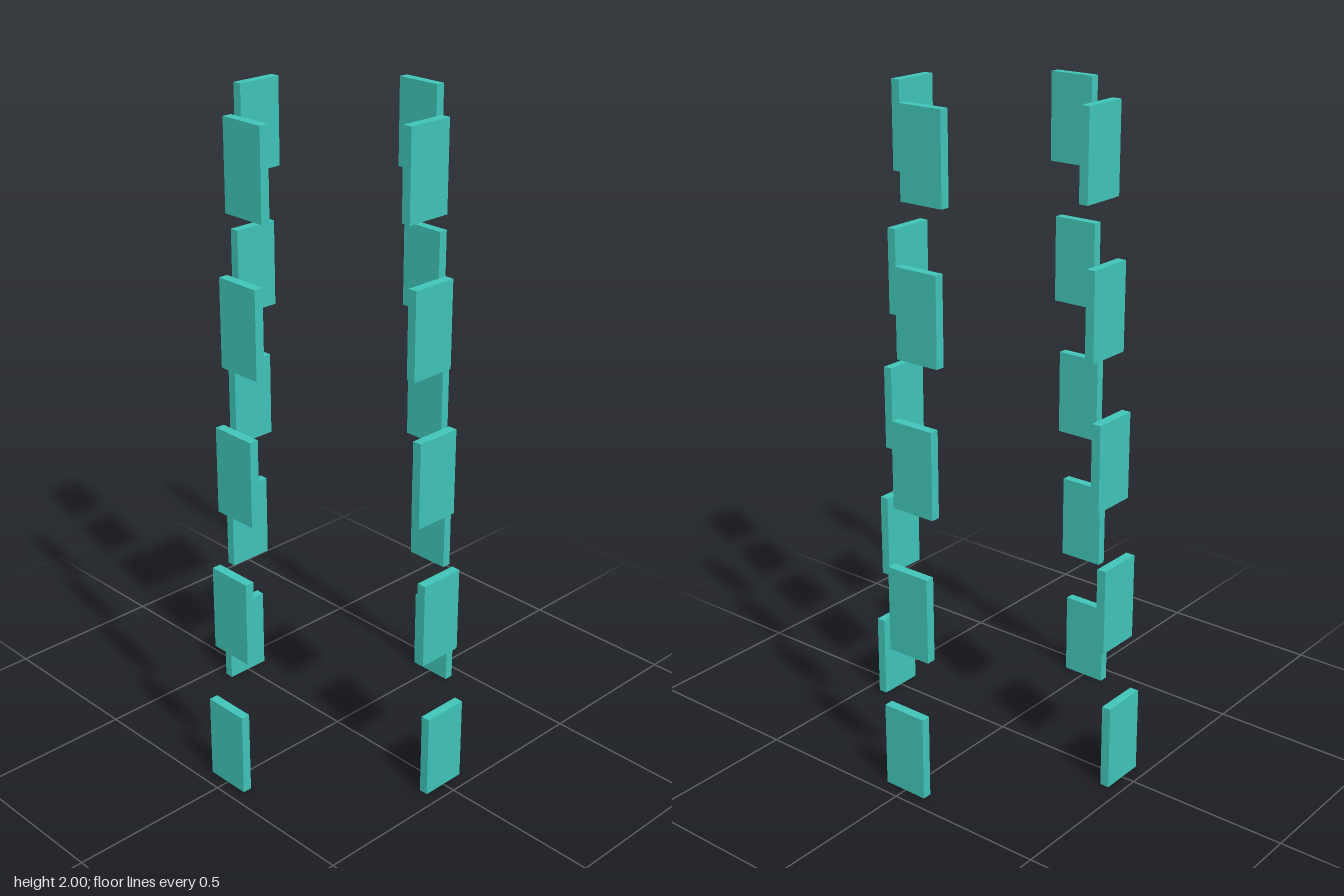
import * as THREE from 'three';

export function createModel() {
  const model = new THREE.Group();
  const material = new THREE.MeshStandardMaterial({ color: 0x40c4b8 });
  const rows = 5, width = 0.144, height = 0.262, thickness = 0.0284;
  const panel = new THREE.BoxGeometry(width, height, thickness);

  // Four columns of upright panels, each row stepping inwards by one thickness
  ['front', 'left', 'back', 'right'].forEach((side, s) => {
    const column = new THREE.Group();
    column.name = `${side}Column`;
    column.rotation.y = s * Math.PI / 2;
    for (let i = 0; i < rows; i++) {
      const mesh = new THREE.Mesh(panel, material);
      mesh.name = `${side}Panel${i + 1}`;
      const y = height / 2 + i * (2 - height) / (rows - 1);
      mesh.position.set(0, y, 0.4438 - i * thickness);
      column.add(mesh);
    }
    model.add(column);
  });
  return model;
}
